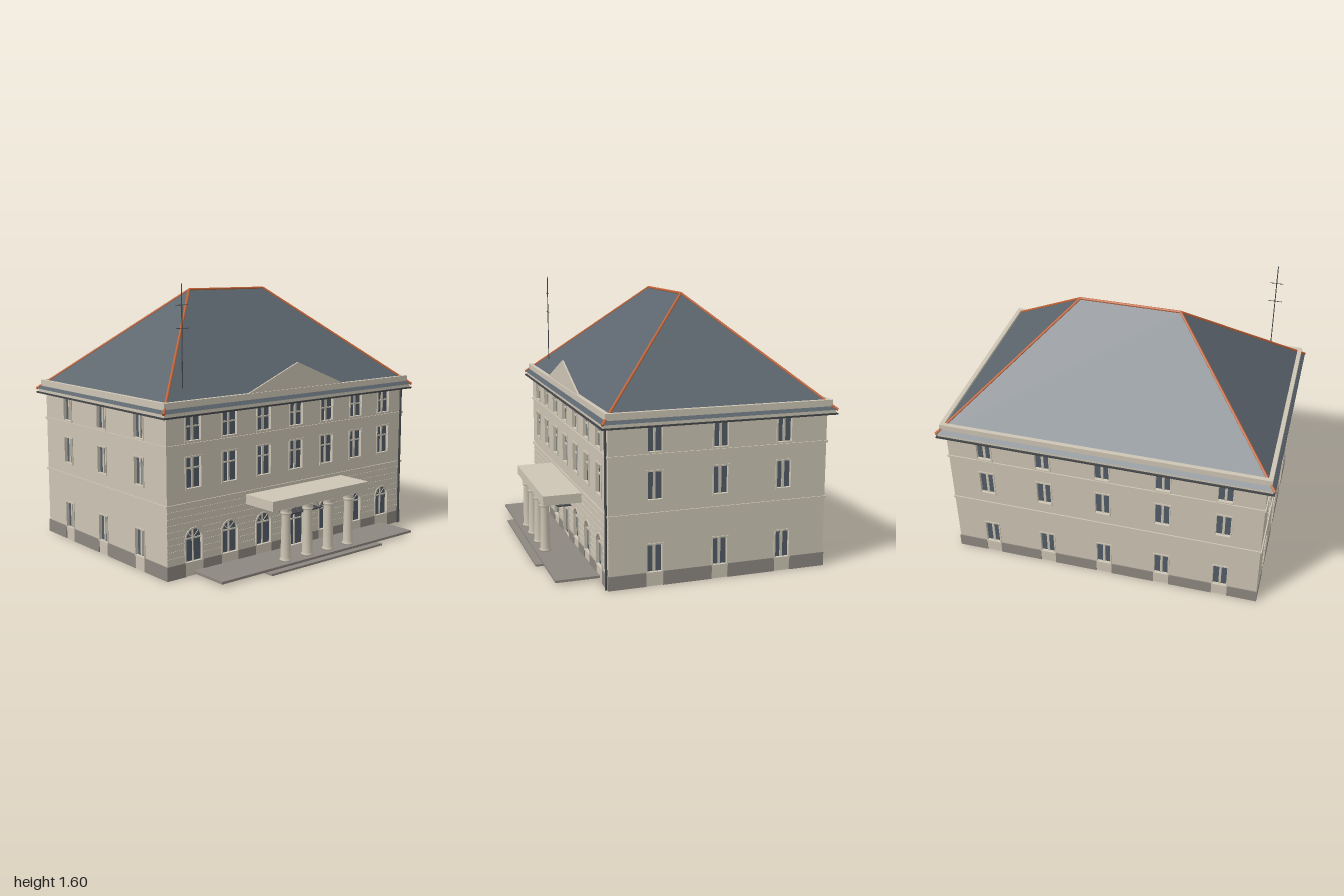
import * as THREE from 'three';

const mat = (name, color, side = THREE.FrontSide) => {
  const m = new THREE.MeshStandardMaterial({ color, side });
  m.name = name;
  return m;
};

export function createModel() {
  const model = new THREE.Group();
  model.name = 'townHall';
  const stone = mat('wall stone', 0xcdc5b4);
  const plinthMat = mat('plinth grey', 0x8d8780);
  const slate = mat('roof slate', 0x5c656d);
  const glass = mat('window glass', 0x525c67, THREE.DoubleSide);
  const tile = mat('ridge tile', 0xc0653a);
  const metal = mat('dark metal', 0x45474a);

  const HX = 0.945, HZ = 0.645, CZ = -0.125, WALL_TOP = 0.915;

  const add = (parent, name, geo, material, x = 0, y = 0, z = 0) => {
    const m = new THREE.Mesh(geo, material);
    m.name = name;
    m.position.set(x, y, z);
    parent.add(m);
    return m;
  };
  // box given by its lower and upper corners
  const box = (parent, name, material, x0, x1, y0, y1, z0, z1) =>
    add(parent, name, new THREE.BoxGeometry(x1 - x0, y1 - y0, z1 - z0), material,
      (x0 + x1) / 2, (y0 + y1) / 2, (z0 + z1) / 2);
  // round rod between two points
  const rod = (parent, name, material, a, b, r, sides = 8) => {
    const p = new THREE.Vector3(...a), q = new THREE.Vector3(...b);
    const m = add(parent, name, new THREE.CylinderGeometry(r, r, p.distanceTo(q), sides), material);
    m.position.copy(p).add(q).multiplyScalar(0.5);
    m.quaternion.setFromUnitVectors(new THREE.Vector3(0, 1, 0), q.sub(p).normalize());
    return m;
  };
  // rectangular ring running round the building
  const ring = (name, material, x, z, t, y0, y1) => {
    const g = new THREE.Group();
    g.name = name;
    for (const s of [-1, 1]) {
      add(g, name + 'Long', new THREE.BoxGeometry(2 * x, y1 - y0, t), material, 0, (y0 + y1) / 2, CZ + s * (z - t / 2));
      add(g, name + 'Short', new THREE.BoxGeometry(t, y1 - y0, 2 * (z - t)), material, s * (x - t / 2), (y0 + y1) / 2, CZ);
    }
    model.add(g);
  };
  // opening outline, grown by e; arched openings get a half-round head
  const outline = (path, o, e = 0) => {
    const h = o.w / 2 + e, spring = o.arch ? o.y1 - o.w / 2 : o.y1 + e;
    path.moveTo(o.x - h, o.y0 - e);
    path.lineTo(o.x + h, o.y0 - e);
    path.lineTo(o.x + h, spring);
    if (o.arch) path.absarc(o.x, spring, h, 0, Math.PI, false);
    else path.lineTo(o.x - h, spring);
    path.lineTo(o.x - h, o.y0 - e);
    return path;
  };
  const extrude = (shape, depth) =>
    new THREE.ExtrudeGeometry(shape, { depth, bevelEnabled: false, curveSegments: 10 });

  // one facade facing +z with its outer face on z = 0
  const facade = (name, half, openings) => {
    const g = new THREE.Group();
    g.name = name;
    const wall = new THREE.Shape([[-half, 0], [half, 0], [half, WALL_TOP], [-half, WALL_TOP]]
      .map(p => new THREE.Vector2(...p)));
    for (const o of openings) {
      wall.holes.push(outline(new THREE.Path(), o));
      add(g, 'windowPane', new THREE.ShapeGeometry(outline(new THREE.Shape(), o), 10), glass, 0, 0, -0.015);
      const trim = outline(new THREE.Shape(), o, 0.009);
      trim.holes.push(outline(new THREE.Path(), o));
      add(g, 'windowSurround', extrude(trim, 0.005), stone);
      // glazing bars
      const spring = o.arch ? o.y1 - o.w / 2 : o.y1;
      box(g, 'mullion', stone, o.x - o.bar, o.x + o.bar, o.y0, o.y1 - 0.001, -0.015, -0.008);
      if (o.transom) box(g, 'transom', stone, o.x - o.w / 2, o.x + o.w / 2, o.transom - 0.004, o.transom + 0.004, -0.015, -0.008);
      if (o.arch) for (const a of [0.25, 0.75])
        rod(g, 'fanBar', stone, [o.x, spring, -0.012],
          [o.x + Math.cos(a * Math.PI) * o.w / 2, spring + Math.sin(a * Math.PI) * o.w / 2, -0.012], 0.003, 4);
    }
    add(g, 'wall', extrude(wall, 0.025), stone, 0, 0, -0.025);
    // plinth, interrupted below the ground-floor openings
    const ground = openings.filter(o => o.y0 < 0.2).sort((a, b) => a.x - b.x);
    const spans = (pad) => {
      const edges = [-half - 0.004, ...ground.flatMap(o => [o.x - o.w / 2 - pad, o.x + o.w / 2 + pad]), half + 0.004];
      return edges.flatMap((e, i) => (i % 2 ? [] : [[e, edges[i + 1]]]));
    };
    for (const [a, b] of spans(0.006)) box(g, 'plinth', plinthMat, a, b, 0, 0.08, -0.002, 0.005);
    g.userData.spans = spans;
    model.add(g);
    return g;
  };

  // three rows of plain windows for the sides and back
  const plainRows = xs => xs.flatMap(x => [[0.08, 0.235], [0.49, 0.645], [0.755, 0.892]]
    .map(([y0, y1]) => ({ x, y0, y1, w: 0.084, bar: 0.007 })));

  // front: seven bays with arched ground floor and a central door
  const front = [];
  for (let i = -3; i <= 3; i++) {
    const x = i * 0.255;
    front.push({ x, y0: 0.495, y1: 0.665, w: 0.1, bar: 0.007, transom: 0.605 });
    front.push({ x, y0: 0.758, y1: 0.892, w: 0.1, bar: 0.007, transom: 0.835 });
    front.push(i ? { x, y0: 0.08, y1: 0.265, w: 0.11, bar: 0.004, arch: true, transom: 0.21 }
      : { x, y0: 0.026, y1: 0.235, w: 0.13, bar: 0.005, transom: 0.185 });
  }
  const frontWall = facade('frontWall', HX, front);
  frontWall.position.z = CZ + HZ;
  const backWall = facade('backWall', HX, plainRows([-0.72, -0.36, 0, 0.36, 0.72]));
  backWall.position.z = CZ - HZ;
  backWall.rotation.y = Math.PI;
  for (const s of [-1, 1]) {
    const side = facade(s > 0 ? 'leftWall' : 'rightWall', HZ, plainRows([-0.383, 0, 0.383]));
    side.position.set(s * HX, 0, CZ);
    side.rotation.y = s * Math.PI / 2;
  }

  // rusticated courses on the lower front
  for (let i = 0; i < 8; i++) {
    const y = 0.115 + i * 0.037;
    const runs = y < 0.28 ? frontWall.userData.spans(0.01) : [[-HX, HX]];
    for (const [a, b] of runs) box(frontWall, 'rusticCourse', stone, a, b, y, y + 0.006, -0.001, 0.003);
  }
  for (const w of model.children) w.userData = {};

  // string courses, cornice, gutter and parapet
  ring('lowerStringCourse', stone, HX + 0.007, HZ + 0.007, 0.012, 0.406, 0.418);
  ring('upperStringCourse', stone, HX + 0.007, HZ + 0.007, 0.012, 0.732, 0.744);
  box(model, 'cornice', stone, -0.98, 0.98, 0.9, 0.926, CZ - 0.68, CZ + 0.68);
  ring('gutter', metal, 0.99, 0.69, 0.014, 0.897, 0.906);
  ring('parapet', stone, 0.97, 0.665, 0.025, 0.935, 0.98);

  // hipped roof
  const EX = 0.99, EZ = 0.687, EY = 0.925, RX = 0.3, RY = 1.545;
  const c = [[-EX, EY, CZ + EZ], [EX, EY, CZ + EZ], [EX, EY, CZ - EZ], [-EX, EY, CZ - EZ]];
  const r = [[-RX, RY, CZ], [RX, RY, CZ]];
  const tris = [c[0], c[1], r[1], c[0], r[1], r[0], c[1], c[2], r[1],
    c[2], c[3], r[0], c[2], r[0], r[1], c[3], c[0], r[0], c[0], c[2], c[1], c[0], c[3], c[2]];
  const roof = new THREE.BufferGeometry();
  roof.setAttribute('position', new THREE.Float32BufferAttribute(tris.flat(), 3));
  roof.computeVertexNormals();
  add(model, 'roof', roof, slate);
  rod(model, 'ridgeTiles', tile, r[0], r[1], 0.008);
  c.forEach((p, i) => rod(model, 'hipTiles', tile, p, r[i === 1 || i === 2 ? 1 : 0], 0.008));

  // pediment above the front parapet
  const tri = new THREE.Shape([[-0.39, 0.975], [0.39, 0.975], [0, 1.132]].map(p => new THREE.Vector2(...p)));
  add(model, 'pediment', extrude(tri, 0.01), stone, 0, 0, 0.522);

  // terrace and step
  box(model, 'terrace', plinthMat, -0.77, 0.77, 0.012, 0.026, 0.515, 0.773);
  box(model, 'step', plinthMat, -0.45, 0.45, 0, 0.012, 0.53, 0.815);

  // portico with four columns
  box(model, 'porticoSlab', stone, -0.388, 0.388, 0.34, 0.397, 0.515, 0.75);
  const profile = [[0, 0.026], [0.036, 0.026], [0.036, 0.036], [0.03, 0.045], [0.029, 0.12], [0.025, 0.295],
    [0.033, 0.302], [0.033, 0.312], [0.028, 0.315], [0.035, 0.335], [0.035, 0.341], [0, 0.341]]
    .map(p => new THREE.Vector2(...p));
  const column = new THREE.LatheGeometry(profile, 16);
  for (const x of [-0.255, -0.085, 0.085, 0.255]) add(model, 'column', column, stone, x, 0, 0.713);

  // entrance canopy on stays
  box(model, 'canopy', metal, -0.13, 0.13, 0.247, 0.253, 0.52, 0.608);
  box(model, 'canopyRail', metal, -0.13, 0.13, 0.296, 0.301, 0.52, 0.526);
  for (const x of [-0.13, -0.045, 0.045, 0.13])
    rod(model, 'canopyStay', metal, [x, 0.25, 0.606], [x, 0.305, 0.522], 0.0025, 6);

  // drainpipe
  rod(model, 'drainpipe', metal, [0.925, 0, 0.529], [0.925, 0.9, 0.529], 0.007);

  // roof aerial
  rod(model, 'aerialMast', metal, [-0.775, 1.03, 0.44], [-0.775, 1.6, 0.44], 0.003, 6);
  for (const y of [1.36, 1.485])
    rod(model, 'aerialBar', metal, [-0.817, y, 0.44], [-0.733, y, 0.44], 0.002, 6);

  return model;
}
